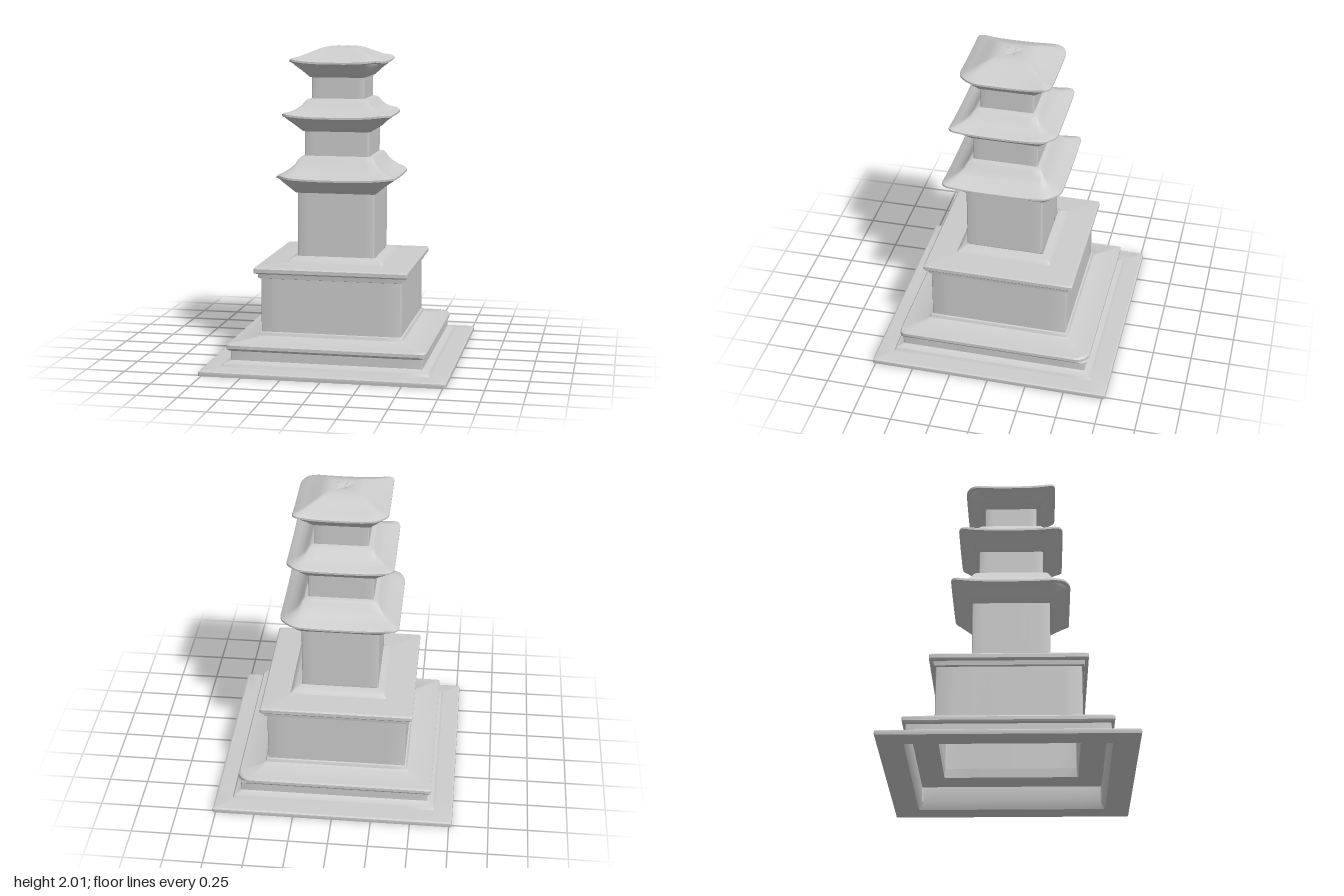
import * as THREE from 'three';
import { mergeGeometries, toCreasedNormals } from 'three/addons/utils/BufferGeometryUtils.js';

const material = new THREE.MeshStandardMaterial({ color: 0xcccccc });
const CORNERS = [[1, 1], [-1, 1], [-1, -1], [1, -1]];
const ARC = 6, SIDE = 8;

// Rounded square of half-width w; "wear" (0..1) rounds corners by chips and upturns them by lift
function section([w, y, wear = 0], { chips = [0, 0, 0, 0], lift = 0, cx = 0, cz = 0 }) {
  const outline = [];
  CORNERS.forEach(([sx, sz], k) => {
    const r = Math.min(w * 0.9, 0.01 + wear * chips[k]);
    for (let i = 0; i <= ARC; i++) {
      const a = (k + i / ARC) * Math.PI / 2;
      outline.push([sx * (w - r) + r * Math.cos(a), sz * (w - r) + r * Math.sin(a)]);
    }
  });
  const ring = [];
  outline.forEach(([x, z], i) => {
    const [nx, nz] = outline[(i + 1) % outline.length];
    const steps = i % (ARC + 1) === ARC ? SIDE : 1;
    for (let s = 0; s < steps; s++) {
      const px = x + (nx - x) * s / steps, pz = z + (nz - z) * s / steps;
      const t = Math.min(Math.abs(px), Math.abs(pz)) / w;
      ring.push([px + cx, y + lift * wear * t ** 3, pz + cz]);
    }
  });
  return ring;
}

// Skin through square sections; an upward profile faces out, a downward one faces in
function loft(profile, options) {
  const rings = profile.map((p) => section(p, options));
  const n = rings[0].length, pos = [];
  for (let j = 0; j < rings.length - 1; j++) {
    for (let i = 0; i < n; i++) {
      const k = (i + 1) % n;
      const [p, q, p2, q2] = [rings[j][i], rings[j + 1][i], rings[j][k], rings[j + 1][k]];
      pos.push(...p, ...q, ...p2, ...p2, ...q, ...q2);
    }
  }
  const g = new THREE.BufferGeometry();
  g.setAttribute('position', new THREE.Float32BufferAttribute(pos, 3));
  return g;
}

function shell(name, outer, inner, options = {}) {
  const geometry = mergeGeometries([loft(outer, options), loft(inner, options)]);
  const mesh = new THREE.Mesh(toCreasedNormals(geometry, 0.5), material);
  mesh.name = name;
  return mesh;
}

export function createModel() {
  const group = new THREE.Group();

  // Ground slab with open underside, and the moulded step above it
  group.add(shell('steppedBase',
    [[0.61, 0], [0.768, 0], [0.77, 0.008], [0.768, 0.026], [0.758, 0.032], [0.655, 0.036], [0.645, 0.053],
      [0.618, 0.06], [0.605, 0.07], [0.605, 0.128], [0.62, 0.135, 0.5], [0.626, 0.145, 1], [0.626, 0.165, 1],
      [0.618, 0.174, 1], [0.48, 0.188], [0.462, 0.2], [0.455, 0.218], [0.445, 0.222]],
    [[0.43, 0.222], [0.435, 0.16], [0.59, 0.15], [0.59, 0.05], [0.61, 0]],
    { chips: [0.03, 0, 0, 0.08] }));

  // Square pedestal with a projecting cornice and a small seat for the tower
  group.add(shell('pedestal',
    [[0.445, 0.22], [0.445, 0.562], [0.46, 0.566], [0.464, 0.594], [0.48, 0.598], [0.486, 0.605],
      [0.486, 0.628], [0.478, 0.636], [0.31, 0.645], [0.298, 0.66], [0.28, 0.672], [0.246, 0.68]],
    [[0.23, 0.68], [0.23, 0.615], [0.43, 0.605], [0.43, 0.22]],
    { chips: [0, 0, 0, 0] }));

  // Three storeys: shaft half-width, eave half-width, heights, worn corners
  const storeys = [
    { w: 0.246, eave: 0.377, y0: 0.68, y1: 1.085, next: 0.205, top: 1.318, cx: -0.005, cz: 0.01, chips: [0.04, 0.12, 0.03, 0.13] },
    { w: 0.206, eave: 0.334, y0: 1.31, y1: 1.472, next: 0.168, top: 1.678, cx: -0.007, cz: 0.01, chips: [0.03, 0.05, 0.04, 0.1] },
    { w: 0.168, eave: 0.291, y0: 1.67, y1: 1.81, next: 0, top: 2, cx: -0.007, cz: 0.008, chips: [0.12, 0.03, 0.1, 0.03] },
  ];
  storeys.forEach(({ w, eave, y0, y1, next, top, cx, cz, chips }, i) => {
    group.add(shell(`shaft${i + 1}`, [[w, y0], [w, y1]], [[w - 0.016, y1], [w - 0.016, y0]], { cx, cz }));

    // Flared underside and rounded eave edge
    const d = eave - w, e = y1 + 0.08;
    const outer = [[w, y1], [w + 0.012, y1 + 0.004], [w + d * 0.4, y1 + 0.038, 0.2], [w + d * 0.72, y1 + 0.066, 0.6],
      [eave - 0.015, e, 1], [eave, e + 0.008, 1], [eave, e + 0.02, 1], [eave - 0.01, e + 0.028, 0.95]];
    let inner;
    if (next) {
      // Concave roof slope ending in a low collar
      const h = top - e, run = eave - next;
      outer.push([next + run * 0.72, e + h * 0.3, 0.6], [next + run * 0.5, e + h * 0.47, 0.3],
        [next + run * 0.32, e + h * 0.66, 0.1], [next + run * 0.21, e + h * 0.87], [next + run * 0.13, top - 0.006], [next, top]);
      inner = [[next - 0.016, top], [next + run * 0.2, e + h * 0.6], [eave - 0.04, e + 0.016, 0.7], [w - 0.016, y1]];
    } else {
      // Top roof closing in a small flat crown with a dimple
      outer.push([0.235, 1.935, 0.5], [0.19, 1.957, 0.25], [0.15, 1.977, 0.1], [0.115, 1.993], [0.085, 1.999],
        [0.06, 2], [0.036, 1.998, 1], [0.018, 1.99, 1], [0.001, 1.986]);
      inner = [[0.001, 1.975], [0.1, 1.975], [eave - 0.04, e + 0.014, 0.7], [w - 0.016, y1]];
    }
    group.add(shell(`roof${i + 1}`, outer, inner, { cx, cz, chips, lift: 0.02 }));
  });

  return group;
}
